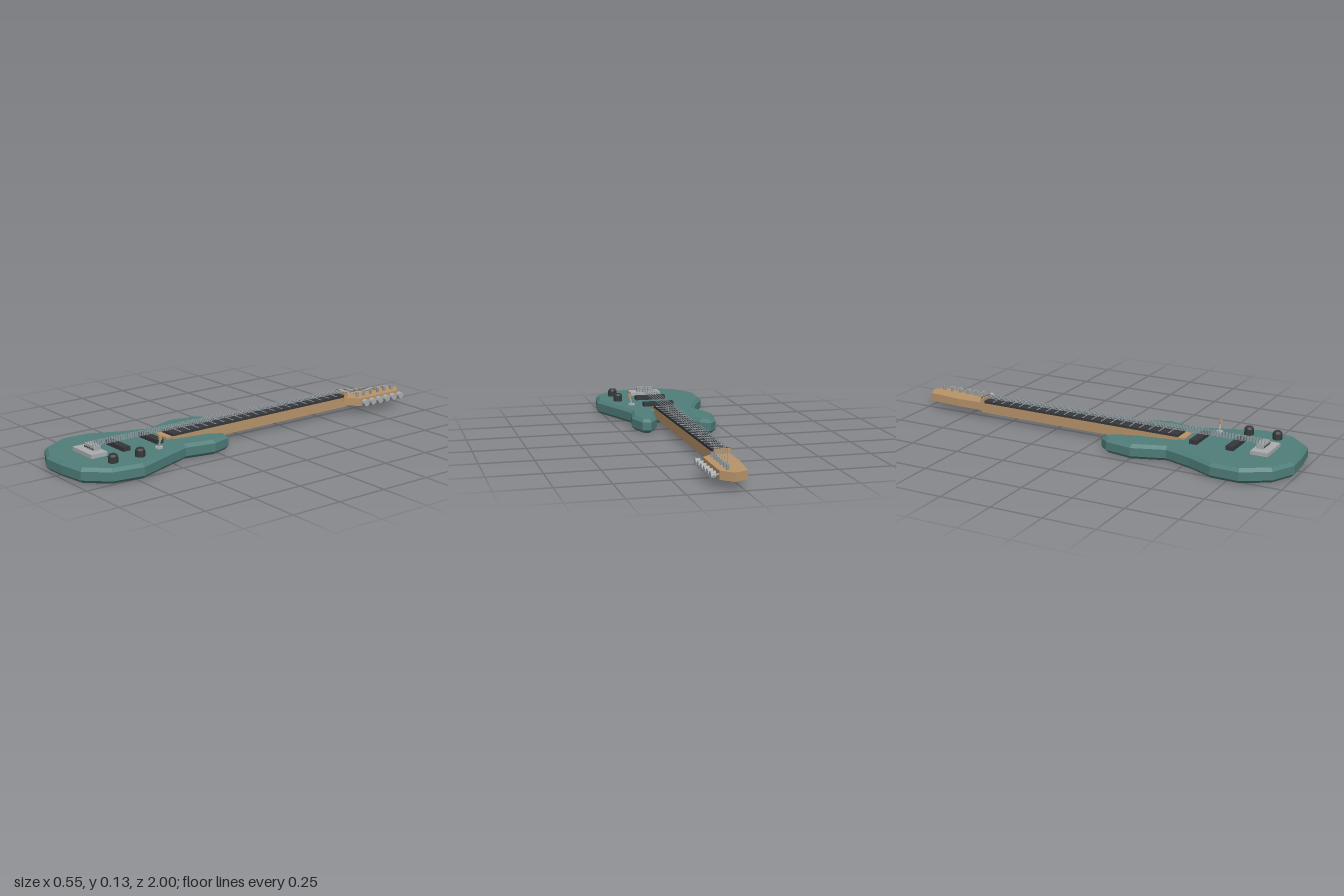
import * as THREE from 'three';

const paint = (color) => new THREE.MeshStandardMaterial({ color, flatShading: true });

export function createModel() {
  const guitar = new THREE.Group();
  const teal = paint(0x4f7d79), wood = paint(0xb8946a), dark = paint(0x36383b);
  const plate = paint(0xaaacae), steel = paint(0x8f979c);

  const add = (name, geometry, material, x = 0, y = 0, z = 0) => {
    const mesh = new THREE.Mesh(geometry, material);
    mesh.name = name;
    mesh.position.set(x, y, z);
    guitar.add(mesh);
    return mesh;
  };
  const box = (name, w, h, d, material, x, y, z) =>
    add(name, new THREE.BoxGeometry(w, h, d), material, x, y, z);

  // Flat slab from an [x, z] outline, standing between two heights
  const slab = (name, outline, y0, y1, material, bevel = 0) => {
    const shape = new THREE.Shape(outline.map(([x, z]) => new THREE.Vector2(x, -z)));
    const geometry = new THREE.ExtrudeGeometry(shape, {
      depth: y1 - y0 - 2 * bevel, bevelEnabled: bevel > 0, bevelSize: bevel,
      bevelOffset: -bevel, bevelThickness: bevel, bevelSegments: 1,
    });
    geometry.rotateX(-Math.PI / 2);
    return add(name, geometry, material, 0, y0 + bevel, 0);
  };

  // Thin rod between two points
  const rod = (name, a, b, radius, material, sides = 6) => {
    const from = new THREE.Vector3(...a), to = new THREE.Vector3(...b);
    const dir = to.clone().sub(from);
    const mesh = add(name, new THREE.CylinderGeometry(radius, radius, dir.length(), sides), material);
    mesh.position.copy(from).add(to).multiplyScalar(0.5);
    mesh.quaternion.setFromUnitVectors(new THREE.Vector3(0, 1, 0), dir.normalize());
    return mesh;
  };

  // Body with two horns and chamfered edges
  slab('body', [
    [-0.045, 0.4], [-0.07, 0.23], [-0.11, 0.11], [-0.16, 0.077], [-0.195, 0.12],
    [-0.218, 0.255], [-0.165, 0.41], [-0.21, 0.545], [-0.27, 0.67], [-0.275, 0.81],
    [-0.2, 0.938], [-0.085, 0.995], [0.03, 0.99], [0.157, 0.97], [0.25, 0.87],
    [0.273, 0.72], [0.205, 0.54], [0.16, 0.42], [0.187, 0.275], [0.158, 0.18],
    [0.115, 0.165], [0.07, 0.24], [0.045, 0.4],
  ], 0, 0.07, teal, 0.015);

  // Neck, fingerboard and frets taper toward the nut
  const halfWidth = (z) => 0.034 + 0.011 * (z + 0.645) / 1.055;
  const taper = (z0, z1) => [
    [-halfWidth(z0), z0], [-halfWidth(z1), z1], [halfWidth(z1), z1], [halfWidth(z0), z0],
  ];
  slab('neck', taper(-0.665, 0.445), 0.03, 0.079, wood);
  slab('fingerboard', taper(-0.645, 0.412), 0.079, 0.091, dark);
  for (let i = 1; i <= 20; i++) {
    const z = -0.645 + i * 0.0505;
    box('fret', 2 * halfWidth(z), 0.003, 0.004, steel, 0, 0.092, z);
  }
  box('nut', 0.074, 0.026, 0.018, wood, 0, 0.091, -0.656);
  box('nutGroove', 0.07, 0.004, 0.006, dark, 0, 0.1035, -0.66);

  // Headstock
  slab('headstock', [
    [-0.034, -0.64], [0.035, -0.64], [0.098, -0.7], [0.098, -0.95],
    [0.045, -1], [-0.018, -0.97], [-0.034, -0.8],
  ], 0.04, 0.079, wood);

  // Pickups
  for (const z of [0.503, 0.682]) box('pickup', 0.155, 0.02, 0.037, dark, 0, 0.08, z);

  // Bridge plate
  box('bridge', 0.157, 0.018, 0.083, plate, 0, 0.079, 0.824);

  // Six strings, each with saddle, post and tuner
  for (let i = 0; i < 6; i++) {
    const x = -0.031 + i * 0.0132;
    const nutX = -0.026 + i * 0.0104;
    const postZ = -0.708 - i * 0.0472;
    const postX = 0.06;
    box('saddle', 0.011, 0.023, 0.036, plate, x, 0.099, 0.812);
    rod('saddleScrew', [x, 0.097, 0.83], [x, 0.097, 0.833], 0.0035, dark);
    rod('string', [x, 0.111, 0.825], [nutX, 0.106, -0.656], 0.0016, steel, 5);
    // Posts nearest the nut take the rightmost strings
    const pegZ = -0.708 - (5 - i) * 0.0472;
    rod('stringToPost', [nutX, 0.106, -0.656], [postX, 0.095, pegZ], 0.0016, steel, 5);
    rod('tuningPost', [postX, 0.075, postZ], [postX, 0.102, postZ], 0.0075, steel, 8);
    rod('tunerShaft', [0.09, 0.062, postZ], [0.118, 0.062, postZ], 0.005, steel, 8);
    rod('tunerKnob', [0.114, 0.062, postZ], [0.136, 0.062, postZ], 0.0165, plate, 10);
  }

  // Control knobs with chamfered tops
  const knobProfile = [[0, 0], [0.0225, 0], [0.0225, 0.03], [0.016, 0.039], [0, 0.039]]
    .map(([r, y]) => new THREE.Vector2(r, y));
  for (const z of [0.675, 0.815]) {
    add('controlKnob', new THREE.LatheGeometry(knobProfile, 12), dark, 0.172, 0.069, z);
  }

  // Tilted selector switch
  rod('switchBase', [0.129, 0.069, 0.545], [0.129, 0.078, 0.545], 0.018, plate, 12);
  rod('switchLever', [0.129, 0.076, 0.545], [0.138, 0.113, 0.545], 0.0045, plate, 8);
  rod('switchTip', [0.139, 0.111, 0.545], [0.139, 0.129, 0.545], 0.0085, wood, 8);

  return guitar;
}
